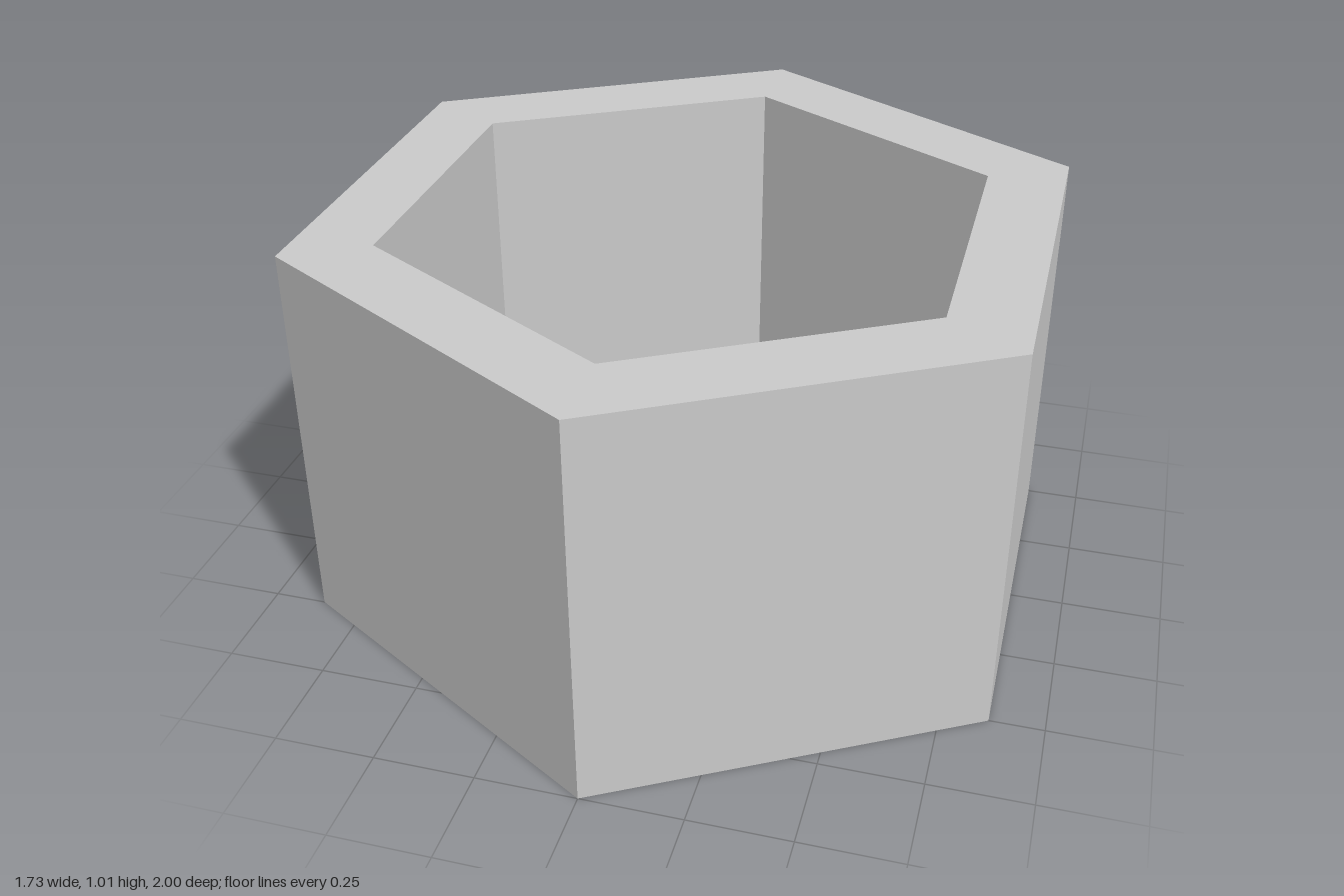
import * as THREE from 'three';

const OUTER_RADIUS = 1;
const INNER_RADIUS = 0.775;
const HEIGHT = 1.01;

// Corners of a regular hexagon with points towards +z and -z
function hexagon(radius) {
  return Array.from({ length: 6 }, (_, i) => {
    const a = Math.PI / 2 + (i * Math.PI) / 3;
    return new THREE.Vector2(radius * Math.cos(a), radius * Math.sin(a));
  });
}

export function createModel() {
  const group = new THREE.Group();
  group.name = 'hexagonalTube';

  // Hexagonal wall, open at top and bottom
  const shape = new THREE.Shape(hexagon(OUTER_RADIUS));
  shape.holes.push(new THREE.Path(hexagon(INNER_RADIUS).reverse()));
  const geometry = new THREE.ExtrudeGeometry(shape, { depth: HEIGHT, bevelEnabled: false });
  geometry.rotateX(-Math.PI / 2);

  const material = new THREE.MeshStandardMaterial({ color: 0xcccccc, flatShading: true });
  const ring = new THREE.Mesh(geometry, material);
  ring.name = 'hexagonalRing';
  group.add(ring);
  return group;
}
